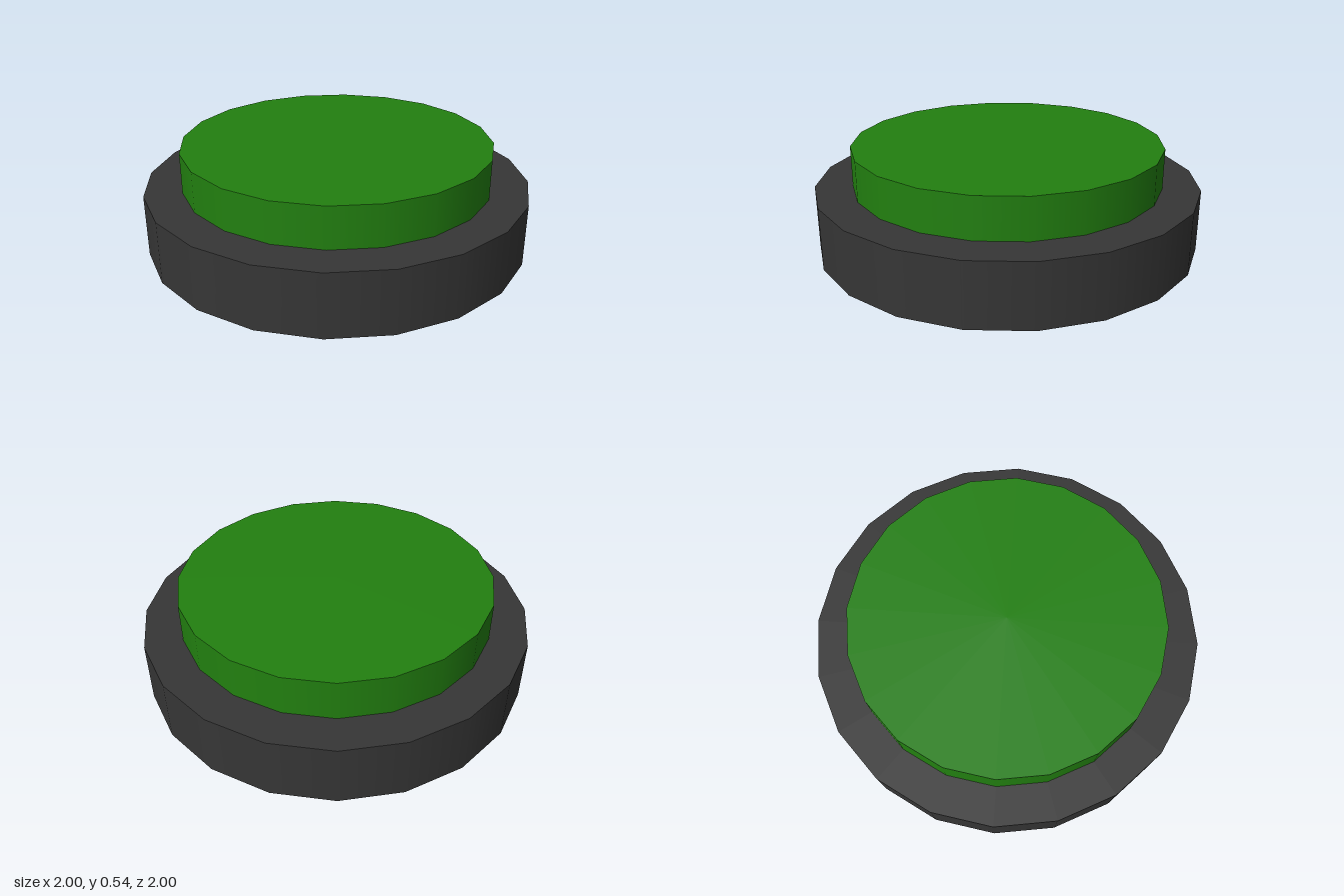
import * as THREE from 'three';

const SIDES = 20;

// Upright disc with smooth sides, standing between two heights
function disc(name, radius, bottom, top, color) {
  const geometry = new THREE.CylinderGeometry(radius, radius, top - bottom, SIDES);
  geometry.translate(0, (bottom + top) / 2, 0);
  const mesh = new THREE.Mesh(geometry, new THREE.MeshStandardMaterial({ color }));
  mesh.name = name;
  return mesh;
}

export function createModel() {
  const model = new THREE.Group();
  model.name = 'pushButton';

  // Dark housing, and the green cap seated slightly into it
  model.add(disc('housing', 1, 0, 0.325, 0x363636));
  model.add(disc('buttonCap', 0.807, 0.3, 0.535, 0x228010));

  return model;
}
